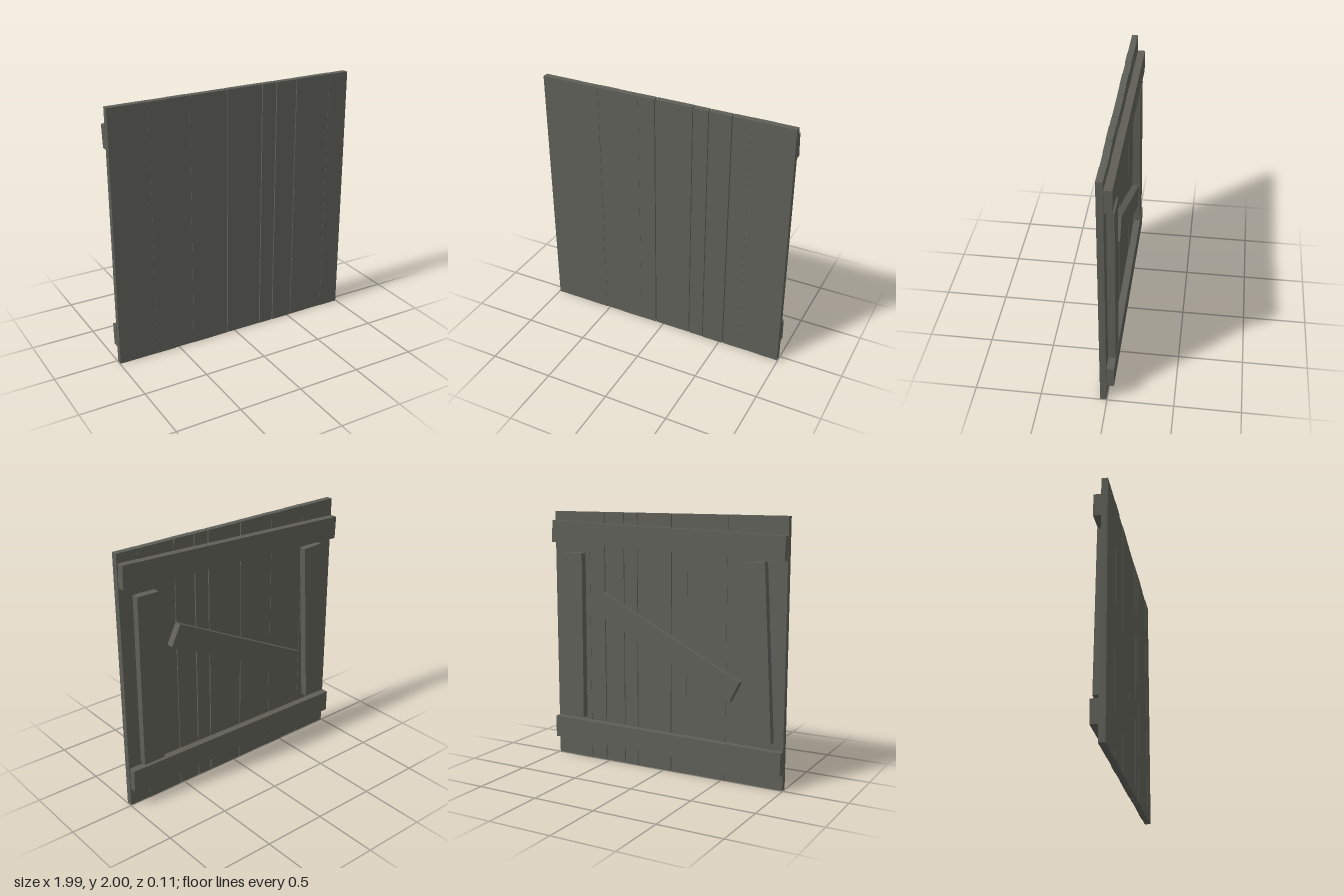
import * as THREE from 'three';

export function createModel() {
  const model = new THREE.Group();
  model.name = 'plankPanel';
  const wood = new THREE.MeshStandardMaterial({ color: 0x5f5f58 });
  wood.name = 'weatheredWood';

  const addBoard = (name, w, h, d, x, y, z, angle = 0) => {
    const board = new THREE.Mesh(new THREE.BoxGeometry(w, h, d), wood);
    board.name = name;
    board.position.set(x, y, z);
    board.rotation.z = angle;
    model.add(board);
  };

  // Upright planks: [left edge, right edge, small depth offset]
  const planks = [
    [-0.995, -0.84, 0], [-0.84, -0.69, 0], [-0.69, -0.53, 0.002],
    [-0.53, -0.37, -0.002], [-0.37, -0.2, 0.001], [-0.2, -0.069, -0.001],
    [-0.062, 0.09, -0.002], [0.09, 0.229, -0.002], [0.236, 0.351, 0],
    [0.358, 0.527, 0.002], [0.534, 0.67, 0], [0.67, 0.83, -0.002],
    [0.83, 0.995, 0.001],
  ];
  planks.forEach(([a, b, dz], i) =>
    addBoard(`plank${i + 1}`, b - a, 2, 0.048, (a + b) / 2, 1, 0.027 + dz));

  // Battens nailed to the back, each slightly askew
  const W = 0.175, D = 0.056, Z = -0.025;
  addBoard('topBatten', 1.985, W, D, -0.003, 1.811, Z, 0.034);
  addBoard('bottomBatten', 1.985, W, D, -0.003, 0.225, Z, 0.0125);
  addBoard('leftUpright', W, 1.335, D, 0.8, 1.012, Z, 0.005);
  addBoard('rightUpright', W, 1.325, D, -0.795, 1.012, Z, -0.057);
  addBoard('diagonalBrace', 1.335, W, D, -0.024, 1.006, Z, 0.461);

  return model;
}
